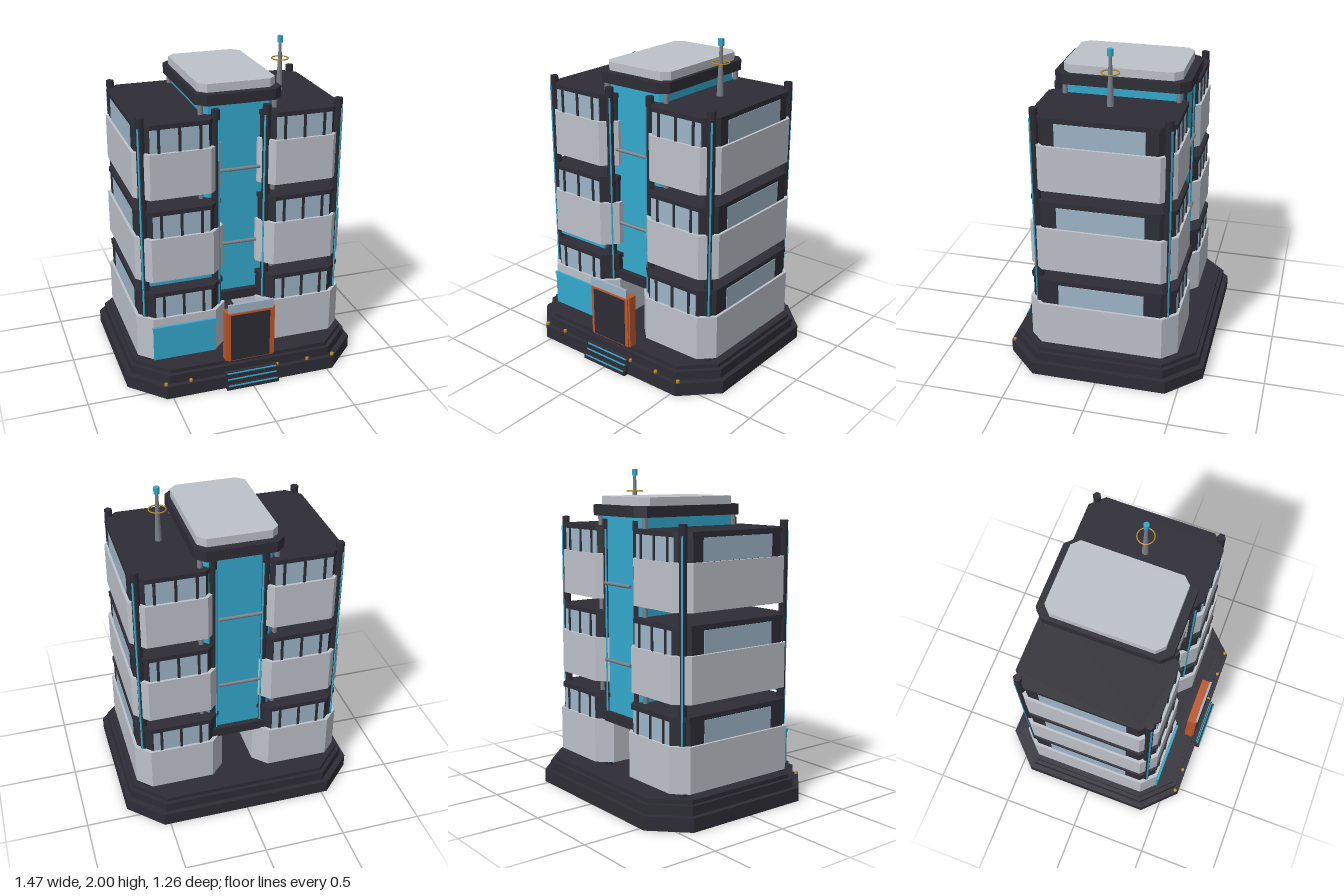
import * as THREE from 'three';

const mat = (name, hex) => {
  const m = new THREE.MeshStandardMaterial({ color: hex });
  m.name = name;
  return m;
};

export function createModel() {
  const dark = mat('charcoal', 0x2e2d36);
  const pale = mat('pale concrete', 0xbdc1c9);
  const blue = mat('blue glass', 0x33a9cd);
  const glass = mat('window glass', 0x9db5c7);
  const orange = mat('orange frame', 0xc0562a);
  const gold = mat('gold lamp', 0xb8901c);
  const steel = mat('steel', 0x7c8088);

  const root = new THREE.Group();
  root.name = 'tower';

  const add = (name, geo, material, x, y, z, parent = root) => {
    const m = new THREE.Mesh(geo, material);
    m.name = name;
    m.position.set(x, y, z);
    parent.add(m);
    return m;
  };
  // Box given by its extents
  const box = (name, material, x0, x1, y0, y1, z0, z1, parent) =>
    add(name, new THREE.BoxGeometry(x1 - x0, y1 - y0, z1 - z0), material,
      (x0 + x1) / 2, (y0 + y1) / 2, (z0 + z1) / 2, parent);
  // Chamfered rectangular slab with half sizes hx, hz
  const slab = (name, material, hx, hz, c, y0, y1, x, z, parent) => {
    const s = new THREE.Shape([
      [hx - c, -hz], [hx, c - hz], [hx, hz - c], [hx - c, hz],
      [c - hx, hz], [-hx, hz - c], [-hx, c - hz], [c - hx, -hz],
    ].map(([a, b]) => new THREE.Vector2(a, b)));
    const g = new THREE.ExtrudeGeometry(s, { depth: y1 - y0, bevelEnabled: false });
    g.rotateX(-Math.PI / 2);
    return add(name, g, material, x, y0, z, parent);
  };

  const ZC = -0.016; // centre of base and wings
  const ZK = -0.043; // centre of core

  // Stepped base
  slab('baseLower', dark, 0.737, 0.613, 0.2, 0, 0.083, 0, ZC);
  slab('baseMiddle', dark, 0.705, 0.583, 0.19, 0.083, 0.14, 0, ZC);
  slab('baseUpper', dark, 0.682, 0.56, 0.18, 0.14, 0.165, 0, ZC);

  // Entrance steps with lit edges
  [[0, 0.03, 0.628], [0.03, 0.065, 0.61], [0.065, 0.1, 0.6]].forEach(([y0, y1, z]) => {
    box('step', dark, -0.17, 0.165, y0, y1, 0.5, z);
    box('stepLight', blue, -0.16, 0.155, y1 - 0.006, y1 + 0.001, z - 0.004, z + 0.002);
  });

  // Path lamps along the front edge
  for (const x of [-0.54, -0.385, -0.012, 0.17, 0.37, 0.54]) {
    add('pathLamp', new THREE.CylinderGeometry(0.011, 0.011, 0.014, 8), gold, x, 0.092, 0.577);
  }

  // Two wings of three floating floors
  for (const side of [-1, 1]) {
    const wing = new THREE.Group();
    wing.name = side > 0 ? 'leftWing' : 'rightWing';
    root.add(wing);
    for (let f = 0; f < 3; f++) {
      const y = 0.19 + f * 0.515;
      const hx = 0.278 - f * 0.007, hz = 0.457 - f * 0.0145;
      const xc = side * 0.377;
      slab('floorPanel', pale, hx, hz, 0.084, y, y + 0.275, xc, ZC, wing);
      slab('windowBand', dark, hx - 0.018, hz - 0.018, 0.08, y + 0.275, y + 0.415, xc, ZC, wing);
      slab('cornice', dark, hx - 0.012, hz - 0.01, 0.08, y + 0.415, y + 0.443, xc, ZC, wing);

      // Front and back windows with mullions
      for (const dir of [-1, 1]) {
        const z = ZC + dir * (hz - 0.018);
        box('window', glass, xc - 0.172, xc + 0.172, y + 0.276, y + 0.413, z - 0.003, z + 0.003, wing);
        for (const dx of [-0.122, 0, 0.122]) {
          box('mullion', dark, xc + dx - 0.008, xc + dx + 0.008, y + 0.275, y + 0.415, z - 0.009, z + 0.009, wing);
        }
      }
      // Wide side window
      const xs = xc + side * (hx - 0.018);
      box('sideWindow', glass, xs - 0.004, xs + 0.004, y + 0.276, y + 0.41, ZC - 0.258, ZC + 0.26, wing);
    }

    // Corner posts with light strips
    for (const dir of [-1, 1]) {
      for (const [px, pz, out] of [[0.597, 0.383, 1], [0.155, 0.372, -1]]) {
        const x = side * px, z = ZC + dir * pz;
        add('cornerPost', new THREE.CylinderGeometry(0.025, 0.025, 1.54, 6), dark, x, 0.935, z, wing);
        const strip = add('postLight', new THREE.BoxGeometry(0.01, 1.46, 0.008), blue,
          x + side * out * 0.016, 0.915, z + dir * 0.018, wing);
        strip.rotation.y = Math.PI / 4 * side * dir * out;
      }
    }
  }

  // Central glass core
  slab('coreFloor', dark, 0.245, 0.385, 0.05, 0.46, 0.52, 0, ZK);
  slab('coreGlass', blue, 0.215, 0.352, 0.03, 0.52, 1.726, 0, ZK);
  slab('coreRoof', dark, 0.26, 0.402, 0.055, 1.726, 1.79, 0, ZK);
  slab('coreCap', pale, 0.235, 0.352, 0.045, 1.79, 1.84, 0, ZK);
  for (const sx of [-1, 1]) for (const sz of [-1, 1]) {
    add('coreColumn', new THREE.CylinderGeometry(0.016, 0.016, 1.206, 8), steel,
      sx * 0.225, 1.123, ZK + sz * 0.338);
  }
  for (const sz of [-1, 1]) for (const y of [0.848, 1.32]) {
    const rod = add('coreRod', new THREE.CylinderGeometry(0.011, 0.011, 0.26, 8), steel, 0, y, ZK + sz * 0.375);
    rod.rotation.z = Math.PI / 2;
  }

  // Entrance portal
  box('entranceFrame', orange, -0.157, 0.155, 0.165, 0.5, 0.505, 0.557);
  box('entranceTrim', orange, -0.145, 0.143, 0.165, 0.49, 0.557, 0.565);
  box('entranceDoor', dark, -0.127, 0.12, 0.172, 0.48, 0.562, 0.57);
  box('entranceScreen', glass, -0.145, 0.14, 0.5, 0.555, 0.558, 0.572);

  // Shop glass and light strip on the right wing
  box('shopGlass', blue, -0.575, -0.185, 0.19, 0.4, 0.438, 0.45);
  box('shopHeader', blue, -0.578, -0.182, 0.395, 0.412, 0.438, 0.456);
  box('hangingLight', blue, -0.57, -0.195, 0.665, 0.685, 0.37, 0.39);

  // Roof antenna
  add('antennaMast', new THREE.CylinderGeometry(0.009, 0.021, 0.295, 8), steel, 0.375, 1.8125, -0.016);
  add('antennaTip', new THREE.CylinderGeometry(0.018, 0.018, 0.04, 8), blue, 0.375, 1.98, -0.016);
  const ring = add('antennaRing', new THREE.TorusGeometry(0.051, 0.004, 6, 24), gold, 0.375, 1.862, -0.016);
  ring.rotation.x = Math.PI / 2;

  return root;
}
